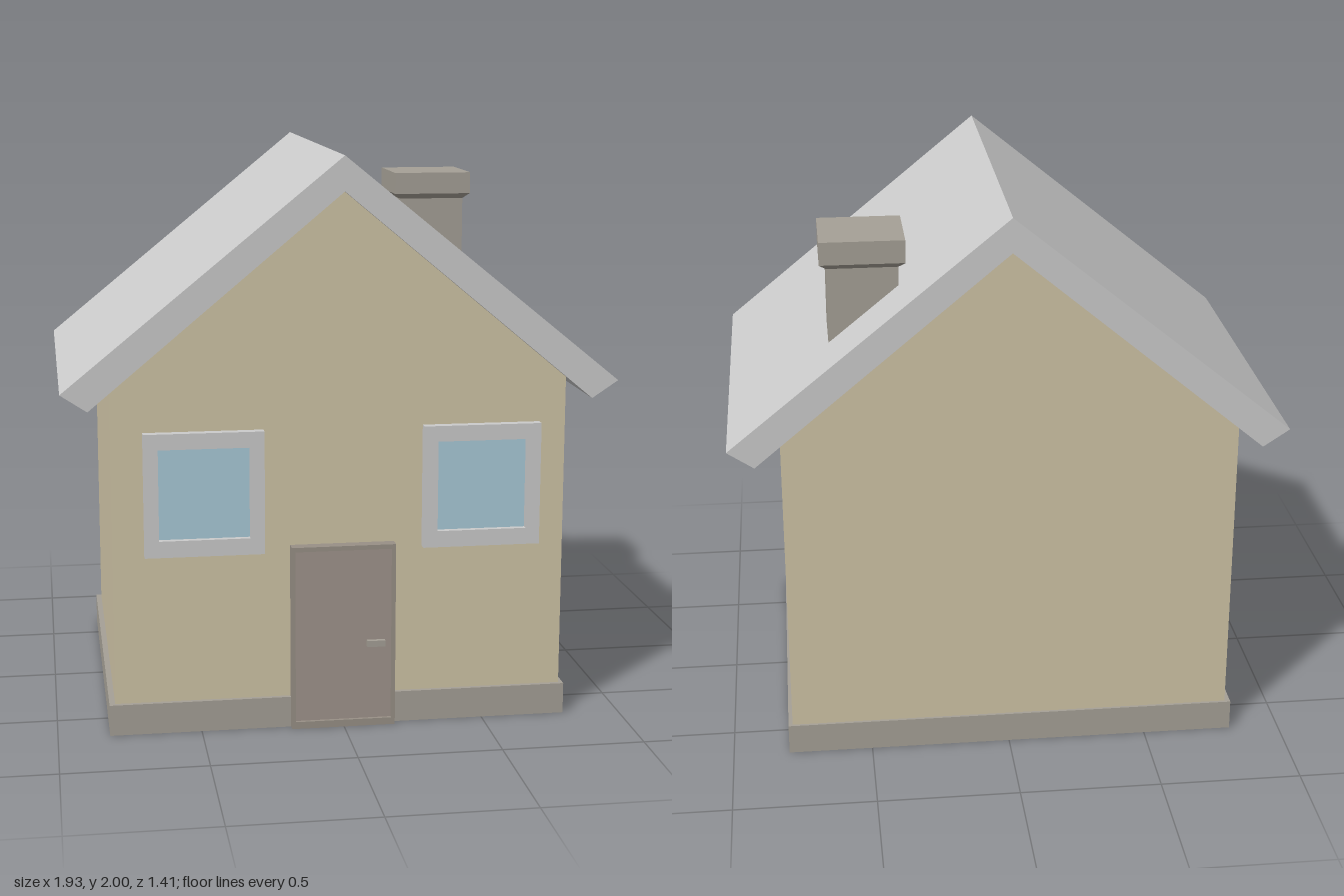
import * as THREE from 'three';

const mat = (color) => new THREE.MeshStandardMaterial({ color, flatShading: true });

export function createModel() {
  const house = new THREE.Group();
  house.name = 'house';

  const wallMat = mat(0xcfc4a6);
  const roofMat = mat(0xcccccc);
  const stoneMat = mat(0xa5a096);
  const trimMat = mat(0xcccccc);
  const glassMat = mat(0xa9c9d8);
  const doorMat = mat(0xa0948c);
  const doorFrameMat = mat(0x989086);

  const add = (name, geometry, material, parent = house) => {
    const mesh = new THREE.Mesh(geometry, material);
    mesh.name = name;
    parent.add(mesh);
    return mesh;
  };

  // Box given by its limits on each axis
  const box = (name, [x0, x1], [y0, y1], [z0, z1], material, parent) => {
    const g = new THREE.BoxGeometry(x1 - x0, y1 - y0, z1 - z0);
    g.translate((x0 + x1) / 2, (y0 + y1) / 2, (z0 + z1) / 2);
    return add(name, g, material, parent);
  };

  // Outline in x, y pushed along z
  const prism = (points, z0, z1, hole) => {
    const shape = new THREE.Shape(points.map(([x, y]) => new THREE.Vector2(x, y)));
    if (hole) shape.holes.push(new THREE.Path(hole.map(([x, y]) => new THREE.Vector2(x, y))));
    const g = new THREE.ExtrudeGeometry(shape, { depth: z1 - z0, bevelEnabled: false });
    return g.translate(0, 0, z0);
  };
  const rect = ([x0, x1], [y0, y1]) => [[x0, y0], [x1, y0], [x1, y1], [x0, y1]];

  // Plinth and gabled walls
  box('foundation', [-0.82, 0.8], [0, 0.11], [-0.656, 0.677], stoneMat);
  add('walls', prism([[-0.8, 0.05], [0.785, 0.05], [0.785, 1.225], [0, 1.88], [-0.8, 1.213]],
    -0.646, 0.661), wallMat);

  // Pitched roof with square-cut eaves
  add('roof', prism([[-0.965, 1.213], [-0.873, 1.152], [0, 1.88],
    [0.873, 1.152], [0.965, 1.213], [0, 2]], -0.704, 0.688), roofMat);

  // Square chimney with a flared cap
  const profile = [[0, 1.5], [0.122, 1.5], [0.122, 1.77], [0.146, 1.79], [0.146, 1.87], [0, 1.87]];
  const chimney = new THREE.LatheGeometry(
    profile.map(([half, y]) => new THREE.Vector2(half * Math.SQRT2, y)), 4);
  chimney.rotateY(Math.PI / 4);
  add('chimney', chimney, stoneMat).position.set(0.484, 0, -0.346);

  // Windows with raised frames and recessed panes
  for (const [name, x] of [['rightWindow', -0.483], ['leftWindow', 0.486]]) {
    const group = new THREE.Group();
    group.name = name;
    group.position.x = x;
    house.add(group);
    const paneX = [-0.157, 0.157], paneY = [0.696, 1.015];
    add('windowFrame', prism(rect([-0.207, 0.207], [0.638, 1.07]), 0.65, 0.694,
      rect(paneX, paneY)), trimMat, group);
    box('windowPane', paneX, paneY, [0.65, 0.672], glassMat, group);
  }

  // Door with a thin frame and a lever handle
  const door = new THREE.Group();
  door.name = 'door';
  house.add(door);
  const panelX = [-0.172, 0.168], panelY = [0.025, 0.642];
  add('doorFrame', prism(rect([-0.185, 0.181], [0, 0.658]), 0.65, 0.704,
    rect(panelX, panelY)), doorFrameMat, door);
  box('doorPanel', panelX, panelY, [0.65, 0.692], doorMat, door);
  box('doorHandle', [0.081, 0.145], [0.29, 0.312], [0.69, 0.709], stoneMat, door);

  return house;
}
